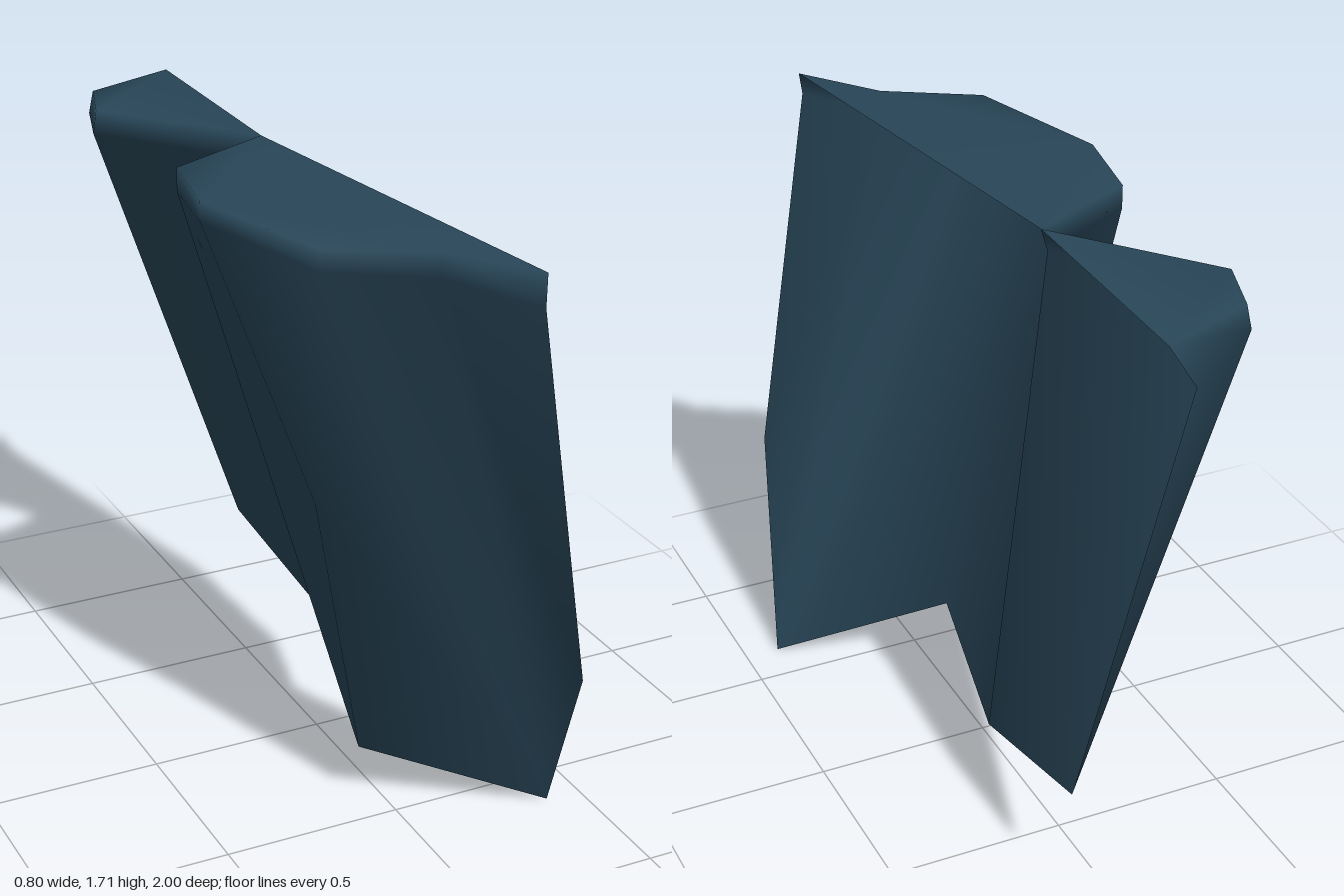
import * as THREE from 'three';

export function createModel() {
  const group = new THREE.Group();
  const slateBlue = new THREE.MeshStandardMaterial({ color: 0x284658, side: THREE.DoubleSide });
  slateBlue.name = 'slateBlue';

  // Flat top outline, back to front: two lobes pinched at index 3
  const top = [[-0.03, -0.95], [-0.3, -0.84], [-0.36, -0.66], [-0.04, -0.26], [-0.35, -0.11],
    [-0.4, 0.16], [-0.28, 0.6], [-0.03, 0.75], [0.13, 0.97]].map(([x, z]) => [x, 1.705, z]);
  // Lower rim, just beneath the top
  const rim = [[-0.08, 1.61, -1], [-0.31, 1.64, -0.85], [-0.37, 1.64, -0.66], [-0.06, 1.64, -0.26],
    [-0.35, 1.64, -0.11], [-0.4, 1.65, 0.16], [-0.28, 1.65, 0.61], [-0.03, 1.64, 0.75], [0.11, 1.63, 1]];
  // Ragged hem, then one fold point halfway up
  const hem = [[0.1, 0.33, -0.77], [0.12, 0.25, -0.3], [-0.07, 0.17, 0.41], [0.4, 0, 0.63], [0.3, 0.56, 0.94]];
  const fold = [-0.2, 0.93, 0.41];

  const R = (i) => top.length + i;
  const H = (i) => top.length + rim.length + i;
  const F = H(hem.length);
  const faces = [];

  // Top cap of each lobe
  const cap = (from, to) => {
    const outline = top.slice(from, to + 1).map(([x, , z]) => new THREE.Vector2(x, -z));
    for (const [a, b, c] of THREE.ShapeUtils.triangulateShape(outline, [])) faces.push(from + a, from + b, from + c);
  };
  cap(0, 3);
  cap(3, 8);

  // Narrow band between the cap and the rim
  for (let i = 0; i < rim.length - 1; i++) faces.push(i, R(i), R(i + 1), i, R(i + 1), i + 1);

  // Hanging folds: each run of rim points gathers to one point below
  const gather = (from, to, point) => {
    for (let i = from; i < to; i++) faces.push(R(i + 1), R(i), point);
  };
  gather(0, 3, H(0));
  gather(3, 4, H(1));
  gather(4, 6, F);
  gather(6, 7, H(3));
  gather(7, 8, H(4));
  faces.push(R(3), H(0), H(1), R(4), H(1), F, F, H(1), H(2),
    F, H(2), H(3), R(6), F, H(3), R(7), H(3), H(4));

  const geometry = new THREE.BufferGeometry();
  geometry.setAttribute('position', new THREE.Float32BufferAttribute([...top, ...rim, ...hem, fold].flat(), 3));
  geometry.setIndex(faces);
  geometry.computeVertexNormals();

  const sheet = new THREE.Mesh(geometry, slateBlue);
  sheet.name = 'foldedSheet';
  group.add(sheet);
  return group;
}
